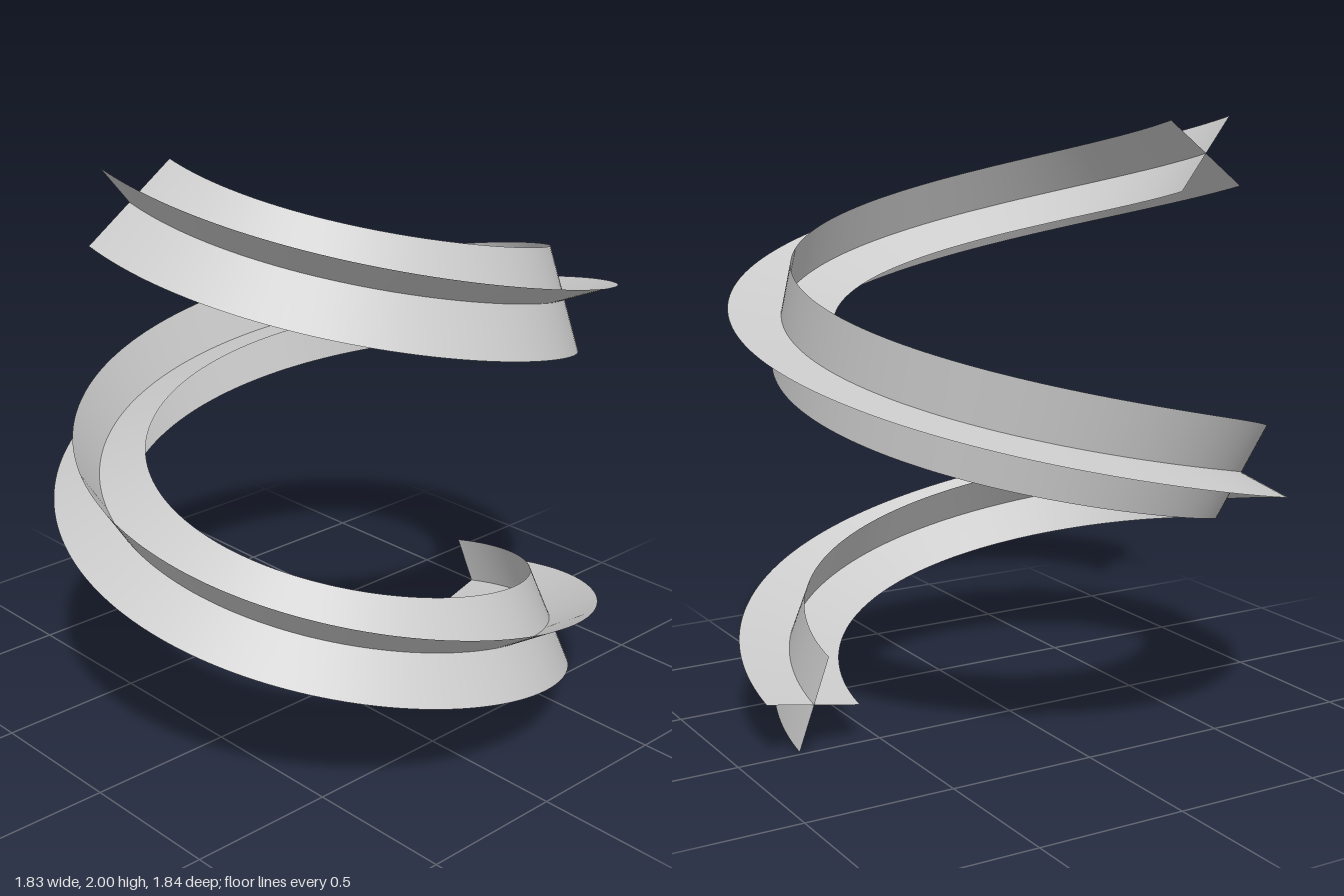
import * as THREE from 'three';
import { ParametricGeometry } from 'three/addons/geometries/ParametricGeometry.js';

const RADIUS = 0.76, RISE = 0.1805;            // helix radius, climb per radian
const HALF_WIDTH = 0.174;                      // length of each arm of the cross
const START = -0.033, END = 3 * Math.PI + 0.033;
const BASE_Y = 0.165, CENTRE_X = -0.0175, CENTRE_Z = 0.005;
const LENGTH = Math.hypot(RADIUS, RISE);
const COS = RADIUS / LENGTH, SIN = RISE / LENGTH;
const START_TILT = THREE.MathUtils.degToRad(12);

// Ribbon swept along the helix without twisting about its own path
function ribbon(turn) {
  return new ParametricGeometry((u, v, target) => {
    const a = START + (END - START) * u;
    const s = (v - 0.5) * 2 * HALF_WIDTH;
    const tilt = START_TILT + turn + (a - START) * SIN;
    const out = s * Math.cos(tilt), up = s * Math.sin(tilt);
    const c = Math.cos(a), n = Math.sin(a);
    // radial direction (c, 0, n); "up" is perpendicular to both it and the path
    target.set(
      CENTRE_X + (RADIUS + out) * c + up * SIN * n,
      BASE_Y + RISE * (a - START) + up * COS,
      CENTRE_Z + (RADIUS + out) * n - up * SIN * c
    );
  }, 240, 4);
}

export function createModel() {
  const model = new THREE.Group();
  model.name = 'crossSectionSpiral';
  const material = new THREE.MeshStandardMaterial({ color: 0xcccccc, side: THREE.DoubleSide });

  // Two ribbons crossing at right angles along their centre line
  [['flatRibbon', 0], ['uprightRibbon', Math.PI / 2]].forEach(([name, turn]) => {
    const mesh = new THREE.Mesh(ribbon(turn), material);
    mesh.name = name;
    model.add(mesh);
  });
  return model;
}
